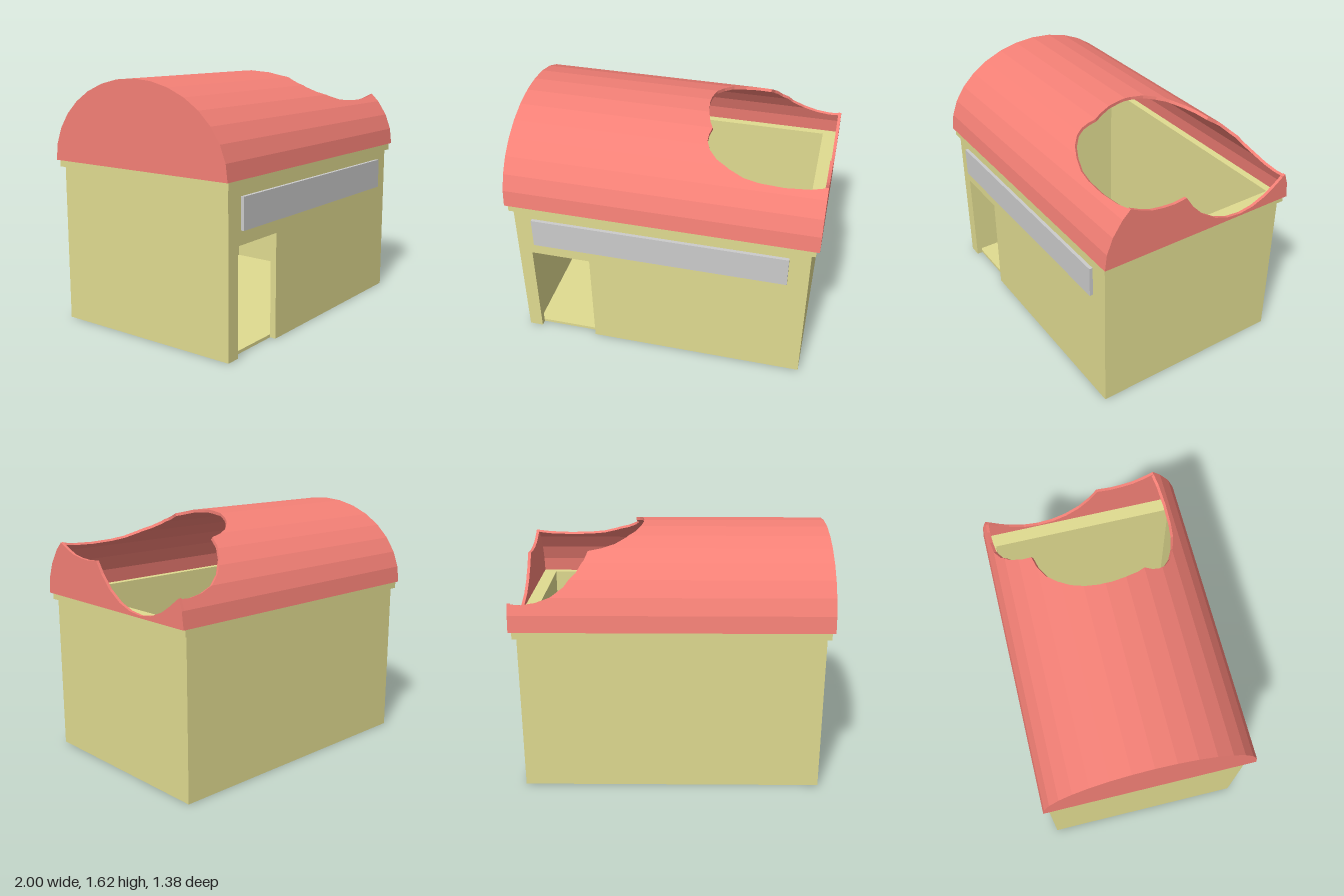
import * as THREE from 'three';

const RED = new THREE.MeshStandardMaterial({ color: 0xf48076, flatShading: true, side: THREE.DoubleSide });
const YELLOW = new THREE.MeshStandardMaterial({ color: 0xe0db90, flatShading: true });
const GREY = new THREE.MeshStandardMaterial({ color: 0xcccccc, flatShading: true });

// Roof section: half ellipse with 16 flat facets
const EAVE = 1.07, HALF = 0.69, RISE = 0.545, SKIN = 0.02, FACETS = 16;
const arch = [];
for (let i = 0; i <= FACETS; i++) {
  const a = (i / FACETS) * Math.PI;
  arch.push([HALF * Math.cos(a), EAVE + RISE * Math.sin(a)]);
}

// Outline of the bitten hole seen from above, as [x, z]
const hole = [
  [1, 0.52], [0.9, 0.537], [0.75, 0.545], [0.6, 0.54], [0.5, 0.527], [0.4, 0.495], [0.32, 0.455],
  [0.265, 0.405], [0.243, 0.355], [0.243, 0.31], [0.255, 0.265], [0.23, 0.215], [0.205, 0.13],
  [0.19, 0.04], [0.19, -0.04], [0.205, -0.13], [0.24, -0.21], [0.29, -0.28], [0.36, -0.345],
  [0.44, -0.385], [0.525, -0.405], [0.545, -0.47], [0.59, -0.54], [0.66, -0.6], [0.74, -0.637],
  [0.83, -0.649], [0.92, -0.654], [1, -0.652],
];

// Bitten top edge of the damaged gable, as [z, y]
const gableBite = [
  [0.52, 1.425], [0.45, 1.39], [0.38, 1.363], [0.3, 1.35], [0.22, 1.345], [0.13, 1.355], [0.08, 1.28],
  [0, 1.195], [-0.1, 1.13], [-0.2, 1.095], [-0.3, 1.085], [-0.4, 1.1], [-0.5, 1.14], [-0.57, 1.185],
  [-0.63, 1.23], [-0.652, 1.245],
];

function add(group, name, geometry, material, x = 0, y = 0, z = 0) {
  const mesh = new THREE.Mesh(geometry, material);
  mesh.name = name;
  mesh.position.set(x, y, z);
  group.add(mesh);
}

// Box given by its lowest and highest corners
function block(group, name, material, [x0, y0, z0], [x1, y1, z1]) {
  add(group, name, new THREE.BoxGeometry(x1 - x0, y1 - y0, z1 - z0), material,
    (x0 + x1) / 2, (y0 + y1) / 2, (z0 + z1) / 2);
}

const outline = (points) => points.map(([x, y]) => new THREE.Vector2(x, y));
const rectangle = (x, z) => outline([[-x, -z], [x, -z], [x, z], [-x, z]]);
const extrude = (shape, depth) => new THREE.ExtrudeGeometry(shape, { depth, bevelEnabled: false });

function archHeight(z) {
  for (let i = 0; i < FACETS; i++) {
    const [za, ya] = arch[i], [zb, yb] = arch[i + 1];
    if (z >= zb) return ya + ((yb - ya) * (z - za)) / (zb - za);
  }
  return EAVE;
}

// Vaulted skin: cut into bands along z, each band running from end to end or to the hole
function roofSkinGeometry() {
  const positions = [];
  const quad = (a, b, c, d) => [a, b, c, a, c, d].forEach((p) => positions.push(...p));
  const outer = ([x, z]) => [x, archHeight(z), z];
  const inner = ([x, z]) => [
    x, EAVE + (archHeight(z) - EAVE) * (1 - SKIN / RISE), z * (1 - SKIN / HALF),
  ];

  const rows = [...arch, ...hole.map(([x, z]) => [z, x])].map((p) => p[0]).sort((a, b) => b - a);
  for (let r = 0; r + 1 < rows.length; r++) {
    const z0 = rows[r], z1 = rows[r + 1], mid = (z0 + z1) / 2;
    if (z0 - z1 < 1e-6) continue;
    // Edges of the hole crossing this band, from left to right
    const cuts = [];
    hole.forEach(([xa, za], i) => {
      const [xb, zb] = hole[(i + 1) % hole.length];
      if ((za > mid) === (zb > mid)) return;
      const at = (z) => xa + ((xb - xa) * (z - za)) / (zb - za);
      cuts.push([at(z0), at(z1)]);
    });
    cuts.sort((p, q) => p[0] + p[1] - q[0] - q[1]);
    const ends = [[-1, -1], ...cuts, [1, 1]];
    for (let k = 0; k < ends.length; k += 2) {
      const [l, h] = [ends[k], ends[k + 1]];
      if (h[0] + h[1] - l[0] - l[1] < 1e-6) continue;
      const corners = [[l[0], z0], [h[0], z0], [h[1], z1], [l[1], z1]];
      const [a, b, c, d] = corners.map(outer);
      const [A, B, C, D] = corners.map(inner);
      quad(a, b, c, d);
      quad(D, C, B, A);
      quad(b, B, C, c);
      quad(d, D, A, a);
    }
  }
  // Undersides of both eaves
  const low = HALF - SKIN;
  quad([-1, EAVE, low], [1, EAVE, low], [1, EAVE, HALF], [-1, EAVE, HALF]);
  quad([-1, EAVE, -HALF], [1, EAVE, -HALF], [1, EAVE, -low], [-1, EAVE, -low]);

  const geometry = new THREE.BufferGeometry();
  geometry.setAttribute('position', new THREE.Float32BufferAttribute(positions, 3));
  geometry.computeVertexNormals();
  return geometry;
}

// Gable plate from a [z, y] outline, standing across x
function gableGeometry(points) {
  const shape = new THREE.Shape(outline(points.map(([z, y]) => [-z, y])));
  return extrude(shape, SKIN).rotateY(Math.PI / 2);
}

export function createModel() {
  const model = new THREE.Group();

  // Walls, open at the top
  const body = new THREE.Group();
  body.name = 'body';
  const X = 0.955, Z = 0.66, IX = 0.89, IZ = 0.62, TOP = 1.025;
  for (const [name, s] of [['leftWall', 1], ['rightWall', -1]]) {
    const xs = [s * IX, s * X].sort((a, b) => a - b);
    block(body, name, YELLOW, [xs[0], 0, -IZ], [xs[1], TOP, IZ]);
  }
  block(body, 'backWall', YELLOW, [-X, 0, -Z], [X, TOP, -IZ]);
  block(body, 'floor', YELLOW, [-IX, 0, -IZ], [IX, 0.02, IZ]);

  // Front wall with the doorway
  const front = new THREE.Shape(outline([
    [-X, 0], [-0.865, 0], [-0.865, 0.68], [-0.47, 0.68], [-0.47, 0], [X, 0], [X, TOP], [-X, TOP],
  ]));
  add(body, 'frontWall', extrude(front, Z - IZ), YELLOW, 0, 0, IZ);

  // Ledge around the wall top
  const ledge = new THREE.Shape(rectangle(0.98, 0.68));
  ledge.holes.push(new THREE.Path(rectangle(IX, IZ)));
  add(body, 'ledge', extrude(ledge, 0.05).rotateX(-Math.PI / 2), YELLOW, 0, TOP, 0);
  model.add(body);

  // Blank board over the door
  block(model, 'signBoard', GREY, [-0.835, 0.768, Z], [0.825, 0.968, 0.682]);

  // Vaulted roof with gables
  const roof = new THREE.Group();
  roof.name = 'roof';
  add(roof, 'roofSkin', roofSkinGeometry(), RED);
  add(roof, 'rightGable', gableGeometry(arch), RED, -1);
  const bitten = [
    ...arch.filter(([z]) => z > 0.52), ...gableBite, ...arch.filter(([z]) => z < -0.652),
  ];
  add(roof, 'brokenGable', gableGeometry(bitten), RED, 1 - SKIN);
  model.add(roof);

  return model;
}
